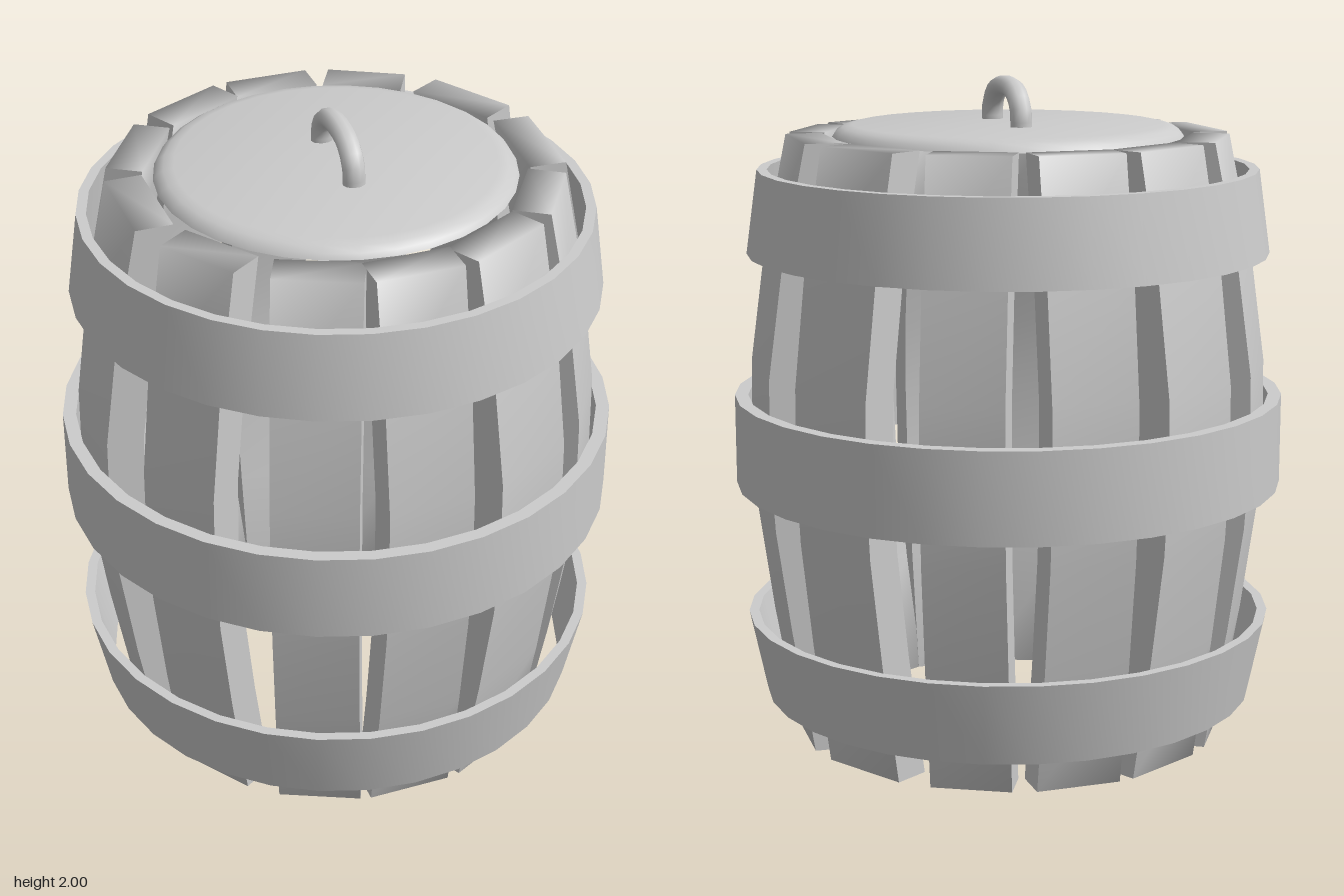
import * as THREE from 'three';
import { mergeVertices, toCreasedNormals } from 'three/addons/utils/BufferGeometryUtils.js';

const grey = new THREE.MeshStandardMaterial({ color: 0xcccccc });

function part(name, geometry) {
  const mesh = new THREE.Mesh(geometry, grey);
  mesh.name = name;
  return mesh;
}

// Bulging outer line of a stave: [radius, height]
const bulge = [[0.645, 0], [0.708, 0.37], [0.752, 0.69], [0.766, 0.92], [0.762, 1.15], [0.717, 1.48], [0.645, 1.83]];
const thickness = 0.11;

// A bent plank with flat sides and soft shading around its long section
function staveGeometry(width) {
  const outer = bulge.map(([r, y]) => new THREE.Vector2(r, y));
  const inner = bulge.map(([r, y]) => new THREE.Vector2(r - thickness, y)).reverse();
  const geo = new THREE.ExtrudeGeometry(new THREE.Shape([...outer, ...inner]), { depth: width, bevelEnabled: false });

  const { start, count } = geo.groups[1];
  let wrap = new THREE.BufferGeometry();
  wrap.setAttribute('position', new THREE.BufferAttribute(geo.attributes.position.array.slice(start * 3, (start + count) * 3), 3));
  wrap = mergeVertices(wrap);
  wrap.computeVertexNormals();
  geo.attributes.normal.array.set(wrap.toNonIndexed().attributes.normal.array, start * 3);

  geo.clearGroups();
  return geo.translate(0, 0, -width / 2).rotateY(-Math.PI / 2);
}

// A conical band turned from a four-cornered section
function hoopGeometry(y0, r0, y1, r1, t) {
  const section = [[r0 - t, y0], [r0, y0], [r1, y1], [r1 - t, y1], [r0 - t, y0]];
  return toCreasedNormals(new THREE.LatheGeometry(section.map(([r, y]) => new THREE.Vector2(r, y)), 32), 0.6);
}

export function createModel() {
  const barrel = new THREE.Group();
  barrel.name = 'barrel';

  // Staves, slightly uneven in spacing and width: [angle in degrees, width]
  const staves = new THREE.Group();
  staves.name = 'staves';
  const layout = [
    [2, 0.255], [29, 0.28], [57.6, 0.255], [88, 0.31], [121.5, 0.28], [153, 0.24],
    [181, 0.255], [208, 0.27], [239, 0.285], [272, 0.31], [306, 0.25], [337, 0.25],
  ];
  for (const [angle, width] of layout) {
    const stave = part('stave', staveGeometry(width));
    stave.rotation.y = THREE.MathUtils.degToRad(angle);
    staves.add(stave);
  }
  barrel.add(staves);

  // Hoops
  barrel.add(part('bottomHoop', hoopGeometry(0.12, 0.75, 0.37, 0.802, 0.03)));
  barrel.add(part('middleHoop', hoopGeometry(0.78, 0.83, 1.05, 0.83, 0.04)));
  barrel.add(part('topHoop', hoopGeometry(1.48, 0.785, 1.73, 0.75, 0.03)));

  // Lid with a rounded rim
  const rim = [[0, 1.825], [0.525, 1.825], [0.515, 1.84], [0.495, 1.853], [0.465, 1.86], [0, 1.86]];
  const lid = new THREE.LatheGeometry(rim.map(([r, y]) => new THREE.Vector2(r, y)), 32);
  barrel.add(part('lid', toCreasedNormals(lid, 0.8)));

  // Arched lid handle
  const arch = new THREE.CatmullRomCurve3(
    [[1.84, 0.16], [1.91, 0.152], [1.956, 0.105], [1.972, 0.015], [1.956, -0.075], [1.91, -0.122], [1.84, -0.13]]
      .map(([y, z]) => new THREE.Vector3(0, y, z)));
  const handle = new THREE.TubeGeometry(arch, 14, 0.028, 10);
  handle.scale(1.2, 1, 1);
  barrel.add(part('lidHandle', handle));

  return barrel;
}
